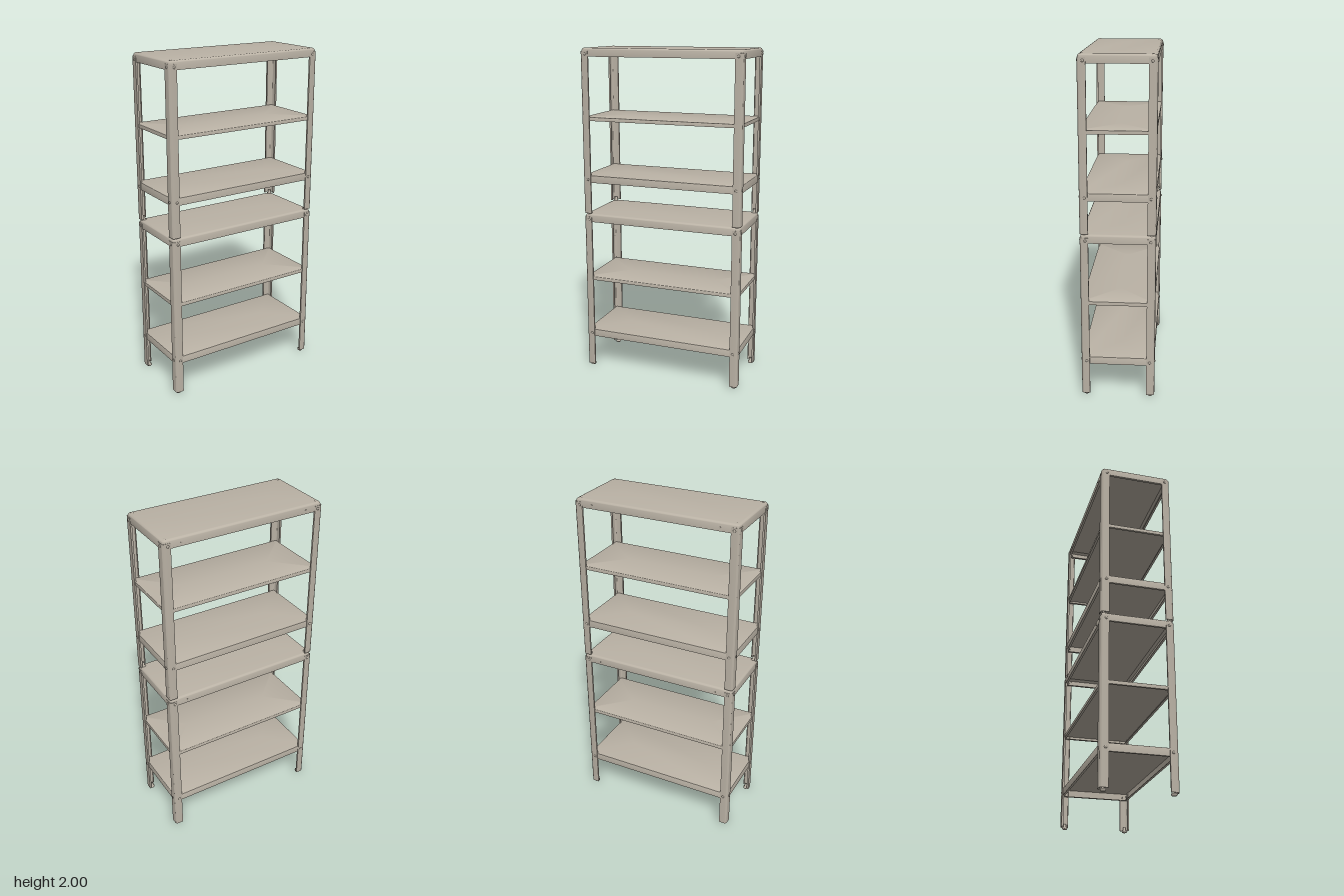
import * as THREE from 'three';
import { toCreasedNormals } from 'three/addons/utils/BufferGeometryUtils.js';

const paint = new THREE.MeshStandardMaterial({ color: 0xbab2a5 });
paint.name = 'warm grey paint';

const HX = 0.495, HZ = 0.214;   // outer half width and half depth
const UNIT = 0.995;             // height step between the stacked units

function mesh(name, geometry, x = 0, y = 0, z = 0) {
  const m = new THREE.Mesh(geometry, paint);
  m.name = name;
  m.position.set(x, y, z);
  return m;
}

// Rounded rectangle, counter-clockwise from above, shrunk by an inset
function ring(hx, hz, radius, inset, y) {
  const r = Math.max(radius - inset, 0), pts = [], steps = 5;
  const sx = [1, -1, -1, 1], sz = [-1, -1, 1, 1];
  for (let q = 0; q < 4; q++) {
    for (let s = 0; s <= steps; s++) {
      const a = (q + s / steps) * Math.PI / 2;
      pts.push([
        sx[q] * (hx - inset - r) + r * Math.cos(a), y,
        sz[q] * (hz - inset - r) - r * Math.sin(a),
      ]);
    }
  }
  return pts;
}

// Pressed sheet tray: flat top, rolled edge, skirt and inward lip, open below
function trayGeometry(hx, hz, depth, edge, corner, lip) {
  const t = 0.003, profile = [[hz, 0]];
  for (let i = 0; i <= 5; i++) {
    const a = i / 5 * Math.PI / 2;
    profile.push([edge * (1 - Math.sin(a)), -edge * (1 - Math.cos(a))]);
  }
  profile.push([0, -depth], [lip, -depth], [lip, -depth + t], [t, -depth + t], [t, -edge], [edge, -t], [hz, -t]);
  const rings = profile.map(([inset, y]) => ring(hx, hz, corner, inset, y));
  const n = rings[0].length, pos = [];
  for (let i = 0; i < rings.length - 1; i++) {
    for (let j = 0; j < n; j++) {
      const k = (j + 1) % n;
      const a = rings[i][j], b = rings[i + 1][j], c = rings[i + 1][k], d = rings[i][k];
      pos.push(...a, ...b, ...c, ...a, ...c, ...d);
    }
  }
  const g = new THREE.BufferGeometry();
  g.setAttribute('position', new THREE.Float32BufferAttribute(pos, 3));
  return toCreasedNormals(g, 0.6);
}

// Lipped angle section with a rounded outer corner at the origin
function postGeometry(height) {
  const w = 0.048, t = 0.003, r = 0.014, lip = 0.011;
  const s = new THREE.Shape();
  s.moveTo(-w, 0);
  s.lineTo(-r, 0);
  s.absarc(-r, -r, r, Math.PI / 2, 0, true);
  s.lineTo(0, -w);
  s.lineTo(-lip, -w);
  s.lineTo(-lip, -w + t);
  s.lineTo(-t, -w + t);
  s.lineTo(-t, -r);
  s.absarc(-r, -r, r - t, 0, Math.PI / 2, false);
  s.lineTo(-w + t, -t);
  s.lineTo(-w + t, -lip);
  s.lineTo(-w, -lip);
  s.closePath();
  const g = new THREE.ExtrudeGeometry(s, { depth: height, bevelEnabled: false, curveSegments: 6 });
  g.rotateX(-Math.PI / 2);
  return toCreasedNormals(g, 0.6);
}

// Bolt along y: domed head above, shank and hexagonal nut below
function bolt() {
  const g = new THREE.Group();
  g.name = 'bolt';
  const head = [[0.008, 0], [0.007, 0.002], [0.004, 0.004], [0, 0.0045]].map(p => new THREE.Vector2(...p));
  g.add(mesh('boltHead', new THREE.LatheGeometry(head, 12)));
  g.add(mesh('boltShank', new THREE.CylinderGeometry(0.004, 0.004, 0.016, 10), 0, -0.008));
  g.add(mesh('boltNut', new THREE.CylinderGeometry(0.008, 0.008, 0.005, 6), 0, -0.0095));
  return g;
}

const postGeo = postGeometry(0.973);
const footGeo = new THREE.LatheGeometry(
  [[0, 0], [0.012, 0], [0.016, 0.004], [0.016, 0.012], [0.009, 0.015], [0.009, 0.032], [0, 0.032]]
    .map(p => new THREE.Vector2(...p)), 16);
const topGeo = trayGeometry(HX - 0.002, HZ - 0.002, 0.05, 0.016, 0.02, 0.014);
const middleGeo = trayGeometry(HX - 0.005, HZ - 0.005, 0.022, 0.003, 0.01, 0.014);
const lowerGeo = trayGeometry(HX - 0.004, HZ - 0.004, 0.045, 0.003, 0.01, 0.014);

// One corner: post, foot and two pairs of bolts
function corner() {
  const g = new THREE.Group();
  g.name = 'cornerPost';
  g.add(mesh('post', postGeo, 0, 0.014, 0));
  g.add(mesh('foot', footGeo, -0.025, 0, 0.025));
  for (const y of [0.225, 0.97]) {
    const side = bolt();
    side.rotation.z = -Math.PI / 2;
    side.position.set(0, y, 0.029);
    const face = bolt();
    face.rotation.x = -Math.PI / 2;
    face.position.set(-0.031, y, 0);
    g.add(side, face);
  }
  return g;
}

function shelfUnit() {
  const g = new THREE.Group();
  g.name = 'shelfUnit';
  g.add(mesh('topTray', topGeo, 0, 1.005, 0));
  g.add(mesh('middleShelf', middleGeo, 0, 0.602, 0));
  g.add(mesh('lowerShelf', lowerGeo, 0, 0.25, 0));

  // Quarter turns place the same post on every corner
  [[1, -1], [-1, -1], [-1, 1], [1, 1]].forEach(([sx, sz], k) => {
    const c = corner();
    c.rotation.y = k * Math.PI / 2;
    c.position.set(sx * HX, 0, sz * HZ);
    g.add(c);

    // Stacking stud on the top
    const stud = mesh('stackingStud', new THREE.SphereGeometry(0.008, 12, 6, 0, Math.PI * 2, 0, Math.PI / 2),
      sx * 0.469, 1.004, sz * 0.188);
    stud.scale.y = 0.4;
    g.add(stud);
  });

  for (const x of [-0.385, 0.385]) {
    // Round tab inside the front skirt, small rivet on the back skirt
    const tab = mesh('skirtTab', new THREE.CylinderGeometry(0.018, 0.018, 0.003, 20), x, 0.978, HZ - 0.006);
    tab.rotation.x = Math.PI / 2;
    const rivet = mesh('rivet', new THREE.CylinderGeometry(0.006, 0.006, 0.004, 12), x, 0.975, -HZ + 0.002);
    rivet.rotation.x = Math.PI / 2;
    g.add(tab, rivet);
  }
  return g;
}

export function createModel() {
  const model = new THREE.Group();
  model.name = 'stackedShelving';
  ['lowerUnit', 'upperUnit'].forEach((name, i) => {
    const unit = shelfUnit();
    unit.name = name;
    unit.position.y = i * UNIT;
    model.add(unit);
  });
  return model;
}
